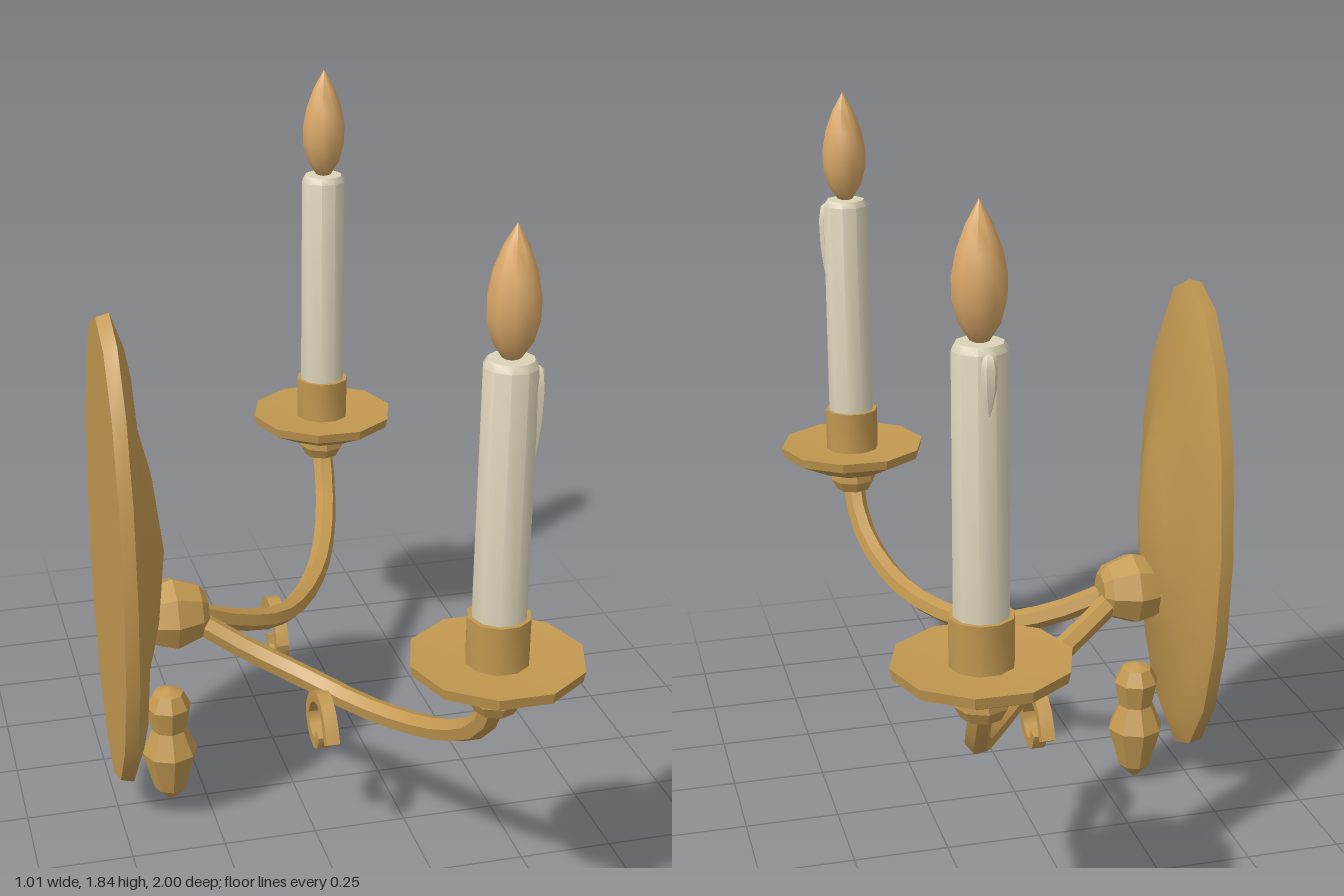
import * as THREE from 'three';
import { toCreasedNormals } from 'three/addons/utils/BufferGeometryUtils.js';

const gold = new THREE.MeshStandardMaterial({ color: 0xc29850 });
gold.name = 'antique gold';
const wax = new THREE.MeshStandardMaterial({ color: 0xdcd3b8 });
wax.name = 'ivory wax';
const glass = new THREE.MeshStandardMaterial({ color: 0xdaa868 });
glass.name = 'amber bulb';

// Profile points are [radius, height], listed from bottom to top
function lathe(profile, sides, phi = Math.PI / 2) {
  return new THREE.LatheGeometry(profile.map(([r, y]) => new THREE.Vector2(r, y)), sides, phi);
}

function part(name, geometry, material, crease = 0.5) {
  const mesh = new THREE.Mesh(toCreasedNormals(geometry, crease), material);
  mesh.name = name;
  return mesh;
}

// Flat curl of constant thickness under an arm, lying in a plane of constant x
function scrollGeometry(side) {
  const points = [
    [0.37, 0.345], [0.335, 0.405], [0.28, 0.432], [0.215, 0.405], [0.18, 0.35],
    [0.196, 0.305], [0.24, 0.285], [0.275, 0.297], [0.287, 0.33],
  ].map(([z, y]) => new THREE.Vector2(z * side, y));
  const curve = new THREE.SplineCurve(points);
  const outer = [], inner = [];
  for (let i = 0; i <= 16; i++) {
    const p = curve.getPoint(i / 16), t = curve.getTangent(i / 16);
    const n = new THREE.Vector2(-t.y, t.x).multiplyScalar(0.015);
    outer.push(p.clone().add(n));
    inner.unshift(p.clone().sub(n));
  }
  const geometry = new THREE.ExtrudeGeometry(new THREE.Shape([...outer, ...inner]),
    { depth: 0.036, bevelEnabled: false });
  return geometry.rotateY(-Math.PI / 2).translate(0.03, 0, 0);
}

// Candle stack, built around its own vertical axis
function createCandle(dripAngle, dripScale) {
  const candle = new THREE.Group();
  candle.name = 'candle';
  candle.add(part('socketCup', lathe([
    [0, 0.66], [0.05, 0.66], [0.066, 0.69], [0.062, 0.725], [0, 0.74],
  ], 8), gold, 0.3));
  candle.add(part('dripPan', lathe([
    [0, 0.725], [0.105, 0.725], [0.207, 0.775], [0.212, 0.802], [0.08, 0.79], [0, 0.79],
  ], 10), gold, 0.3));
  candle.add(part('candleHolder', lathe([
    [0.077, 0.78], [0.077, 0.91], [0.06, 0.91], [0.06, 0.89],
  ], 10), gold, 0.7));
  candle.add(part('candleStick', lathe([
    [0.066, 0.88], [0.064, 1.52], [0.054, 1.537], [0, 1.537],
  ], 10), wax, 0.7));
  candle.add(part('flameBulb', lathe([
    [0, 1.53], [0.022, 1.54], [0.048, 1.58], [0.061, 1.63], [0.062, 1.68],
    [0.051, 1.735], [0.03, 1.79], [0, 1.842],
  ], 10), glass, 1));

  // Wax run clinging to the stick, hanging from the rim
  const drip = part('waxDrip', lathe([
    [0, -0.24], [0.009, -0.19], [0.017, -0.13], [0.019, -0.05], [0.013, -0.01], [0, 0],
  ], 6), wax, 1);
  drip.position.set(Math.cos(dripAngle) * 0.06, 1.525, Math.sin(dripAngle) * 0.06);
  drip.scale.y = dripScale;
  candle.add(drip);
  return candle;
}

// One arm with its scroll and candle; side is +1 or -1 along z
function createArm(side) {
  const arm = new THREE.Group();
  arm.name = side > 0 ? 'frontArm' : 'backArm';
  const path = new THREE.CatmullRomCurve3([
    [-0.3, 0.585, 0.01], [-0.15, 0.5, 0.085], [0, 0.44, 0.185], [0.1, 0.422, 0.31],
    [0.19, 0.44, 0.46], [0.25, 0.492, 0.605], [0.285, 0.58, 0.735], [0.29, 0.68, 0.8],
  ].map(([x, y, z]) => new THREE.Vector3(x, y, z * side)));
  arm.add(part('curvedArm', new THREE.TubeGeometry(path, 14, 0.031, 6), gold, 0.4));
  arm.add(part('scroll', scrollGeometry(side), gold, 0.5));

  const candle = side > 0 ? createCandle(0.4, 1) : createCandle(-1.65, 0.6);
  candle.position.set(0.29, 0, 0.8 * side);
  arm.add(candle);
  return arm;
}

export function createModel() {
  const model = new THREE.Group();
  model.name = 'wallSconce';

  // Domed oval plate facing +x
  const plate = lathe([
    [0, -0.505], [0.985, -0.505], [1, -0.47], [0.86, -0.437], [0.6, -0.422],
    [0.36, -0.382], [0, -0.35],
  ], 16).rotateZ(-Math.PI / 2).scale(1, 0.67, 0.305).translate(0, 0.77, 0);
  model.add(part('wallPlate', plate, gold, 0.6));

  // Boss where both arms meet
  const boss = lathe([
    [0.07, -0.42], [0.09, -0.37], [0.1, -0.33], [0.075, -0.26], [0.05, -0.24], [0, -0.24],
  ], 8).rotateZ(-Math.PI / 2).translate(0, 0.585, 0);
  model.add(part('armBoss', boss, gold, 0.4));

  // Hanging finial in front of the plate
  const finial = part('pendantFinial', lathe([
    [0, 0.005], [0.045, 0.05], [0.077, 0.165], [0.048, 0.235], [0.062, 0.305],
    [0.042, 0.345], [0, 0.362],
  ], 8), gold, 0.4);
  finial.position.x = -0.35;
  model.add(finial);

  for (const side of [1, -1]) model.add(createArm(side));
  return model;
}
